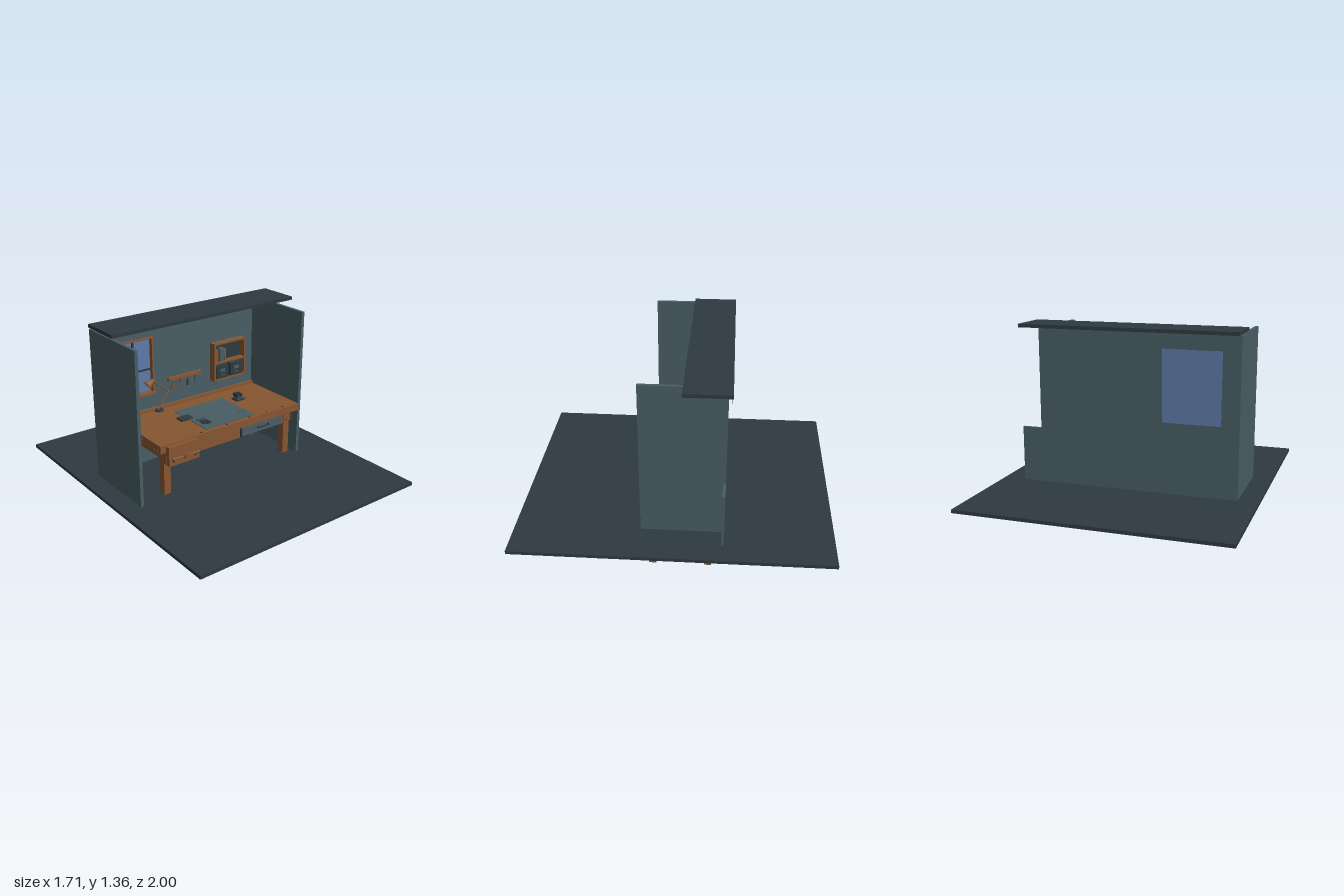
import * as THREE from 'three';

const mat = (name, color, opts = {}) => Object.assign(new THREE.MeshStandardMaterial({ color, ...opts }), { name });

export function createModel() {
  const wood = mat('wood', 0x865530);
  const slate = mat('slate wall', 0x485d63);
  const dark = mat('dark slate', 0x2d3a40);
  const sky = mat('window blue', 0x5d7aaa, { side: THREE.DoubleSide });

  const root = new THREE.Group();
  root.name = 'workshop';
  const group = (name) => {
    const g = new THREE.Group();
    g.name = name;
    root.add(g);
    return g;
  };
  // box given by its two extreme corners
  const box = (parent, name, m, x0, x1, y0, y1, z0, z1) => {
    const mesh = new THREE.Mesh(new THREE.BoxGeometry(x1 - x0, y1 - y0, z1 - z0), m);
    mesh.position.set((x0 + x1) / 2, (y0 + y1) / 2, (z0 + z1) / 2);
    mesh.name = name;
    parent.add(mesh);
    return mesh;
  };
  // round rod from point a to point b
  const rod = (parent, name, m, a, b, r0, r1 = r0, sides = 12) => {
    const p = new THREE.Vector3(...a), q = new THREE.Vector3(...b);
    const d = q.clone().sub(p);
    const mesh = new THREE.Mesh(new THREE.CylinderGeometry(r1, r0, d.length(), sides), m);
    mesh.position.copy(p).add(q).multiplyScalar(0.5);
    mesh.quaternion.setFromUnitVectors(new THREE.Vector3(0, 1, 0), d.normalize());
    mesh.name = name;
    parent.add(mesh);
    return mesh;
  };
  const ball = (parent, name, m, x, y, z, r) => {
    const mesh = new THREE.Mesh(new THREE.SphereGeometry(r, 12, 8), m);
    mesh.position.set(x, y, z);
    mesh.name = name;
    parent.add(mesh);
  };

  // room shell
  const room = group('room');
  box(room, 'floor', dark, -0.855, 0.855, 0.3, 0.322, -1, 1);
  box(room, 'roof', dark, -0.715, 0.71, 1.334, 1.356, -0.343, -0.06);
  box(room, 'leftSideWall', slate, 0.557, 0.579, 0.322, 1.333, -0.318, 0.206);
  box(room, 'rightSideWall', slate, -0.725, -0.703, 0.322, 1.333, -0.318, 0.206);
  box(room, 'lowBackWall', slate, -0.703, 0.709, 0.322, 0.682, -0.318, -0.3);
  box(room, 'wallBesideWindow', slate, -0.703, -0.574, 0.682, 1.333, -0.318, -0.3);
  box(room, 'wideBackWall', slate, -0.286, 0.557, 0.682, 1.333, -0.318, -0.3);
  box(room, 'wallUnderWindow', slate, -0.574, -0.286, 0.682, 0.82, -0.318, -0.3);
  box(room, 'wallOverWindow', slate, -0.574, -0.286, 1.2, 1.333, -0.318, -0.3);

  // window with a blue pane behind the opening
  const win = group('window');
  box(win, 'pane', sky, -0.616, -0.246, 0.785, 1.24, -0.343, -0.341);
  for (const x of [-0.579, -0.295]) box(win, 'windowJamb', wood, x, x + 0.012, 0.82, 1.206, -0.318, -0.288);
  box(win, 'windowHead', wood, -0.579, -0.283, 1.194, 1.206, -0.318, -0.287);
  box(win, 'windowSill', wood, -0.582, -0.28, 0.814, 0.826, -0.318, -0.27);
  box(win, 'uprightBar', dark, -0.436, -0.424, 0.826, 1.194, -0.314, -0.302);
  box(win, 'crossBar', dark, -0.567, -0.295, 0.977, 0.987, -0.313, -0.303);

  // workbench frame: legs, pegs, rails and slatted shelf
  const bench = group('workbench');
  for (const x of [-0.524, 0.467]) {
    for (const z of [-0.241, 0.118]) box(bench, 'leg', wood, x, x + 0.05, 0, 0.638, z, z + 0.048);
    box(bench, 'endRail', wood, x + 0.01, x + 0.04, 0.1, 0.143, -0.193, 0.118);
    box(bench, 'endApron', wood, x + 0.01, x + 0.04, 0.56, 0.638, -0.193, 0.118);
    for (const y of [0.12, 0.57, 0.615]) {
      rod(bench, 'peg', dark, [x + 0.025, y, 0.16], [x + 0.025, y, 0.169], 0.004);
      rod(bench, 'peg', dark, [x + 0.025, y, -0.236], [x + 0.025, y, -0.244], 0.004);
    }
  }
  for (const z of [-0.232, 0.127]) {
    box(bench, 'longRail', wood, -0.474, 0.467, 0.1, 0.143, z, z + 0.03);
    box(bench, 'longApron', wood, -0.474, 0.467, 0.546, 0.638, z, z + 0.034);
  }
  const slatZ = [-0.193, -0.147, -0.077, -0.005, 0.077, 0.118];
  for (let i = 0; i < 5; i++)
    box(bench, 'shelfSlat', wood, -0.472, 0.465, 0.144, 0.156, slatZ[i] + 0.001, slatZ[i + 1] - 0.002);
  box(bench, 'endBlock', wood, 0.517, 0.527, 0.565, 0.638, 0.06, 0.17);

  // bench top: boards over a dark core that shows in the seams
  box(bench, 'topCore', dark, -0.568, 0.563, 0.642, 0.686, -0.298, 0.2);
  const seams = [-0.3, -0.275, -0.205, -0.137, -0.069, 0, 0.067, 0.136, 0.175, 0.207];
  for (let i = 0; i < seams.length - 1; i++)
    box(bench, 'topBoard', wood, -0.571, 0.566, 0.638, 0.689, seams[i] + 0.0008, seams[i + 1] - 0.0008);
  box(bench, 'backLedge', wood, -0.571, 0.569, 0.689, 0.707, -0.3, -0.28);
  for (const x of [-0.25, -0.045, 0.14, 0.29, 0.43])
    rod(bench, 'dogHole', dark, [x, 0.685, 0.188], [x, 0.6905, 0.188], 0.008);

  // drawer
  const drawer = group('drawer');
  box(drawer, 'drawerBorder', dark, 0.085, 0.449, 0.552, 0.63, 0.14, 0.172);
  box(drawer, 'drawerFront', slate, 0.093, 0.441, 0.56, 0.622, 0.15, 0.18);
  box(drawer, 'drawerPull', dark, 0.218, 0.314, 0.59, 0.597, 0.188, 0.195);
  for (const x of [0.218, 0.306]) box(drawer, 'pullPost', dark, x, x + 0.008, 0.59, 0.6, 0.18, 0.19);

  // front vise
  const vise = group('frontVise');
  box(vise, 'innerJaw', wood, -0.533, -0.305, 0.556, 0.638, 0.166, 0.206);
  box(vise, 'outerJaw', wood, -0.535, -0.307, 0.556, 0.684, 0.213, 0.245);
  rod(vise, 'viseScrew', dark, [-0.42, 0.61, 0.2], [-0.42, 0.61, 0.262], 0.014);
  rod(vise, 'viseHub', wood, [-0.42, 0.61, 0.25], [-0.42, 0.61, 0.284], 0.019);
  rod(vise, 'viseHandle', wood, [-0.513, 0.611, 0.265], [-0.333, 0.611, 0.265], 0.006);
  for (const x of [-0.513, -0.333]) ball(vise, 'handleKnob', wood, x, 0.611, 0.265, 0.012);
  for (const x of [-0.5, -0.34]) rod(vise, 'guideRod', dark, [x, 0.585, 0.15], [x, 0.585, 0.247], 0.007);

  // cutting mat and small things on the bench
  const things = group('benchThings');
  box(things, 'cuttingMat', slate, -0.2, 0.195, 0.689, 0.693, -0.18, 0.174);
  box(things, 'notebook', dark, -0.257, -0.167, 0.689, 0.701, -0.075, -0.016);
  for (const [x, z] of [[-0.166, 0.02], [-0.145, 0.03], [-0.122, 0.025]]) {
    rod(things, 'chiselBlade', dark, [x, 0.697, z], [x, 0.697, z + 0.05], 0.003);
    rod(things, 'chiselHandle', dark, [x, 0.699, z + 0.045], [x, 0.699, z + 0.092], 0.006);
  }
  for (const [x, z] of [[0.135, 0.08], [0.17, 0.1], [0.15, 0.09]])
    rod(things, 'screw', dark, [x, 0.696, z], [x + 0.01, 0.696, z + 0.004], 0.002);

  // small bench clamp
  const clamp = group('smallClamp');
  box(clamp, 'clampBase', dark, 0.24, 0.305, 0.689, 0.7, -0.125, -0.065);
  box(clamp, 'clampBody', slate, 0.255, 0.295, 0.7, 0.718, -0.115, -0.075);
  box(clamp, 'clampJaw', dark, 0.25, 0.268, 0.715, 0.737, -0.12, -0.07);
  box(clamp, 'clampJaw', dark, 0.277, 0.293, 0.715, 0.737, -0.12, -0.07);
  rod(clamp, 'clampScrew', dark, [0.272, 0.707, -0.08], [0.272, 0.707, -0.05], 0.004);
  rod(clamp, 'clampHandle', dark, [0.235, 0.703, -0.06], [0.31, 0.711, -0.048], 0.003);

  // jointed desk lamp
  const lamp = group('lamp');
  const lz = -0.262;
  rod(lamp, 'lampBase', dark, [-0.27, 0.689, lz], [-0.27, 0.7, lz], 0.03, 0.028, 20);
  rod(lamp, 'lowerArm', wood, [-0.275, 0.7, lz], [-0.195, 0.81, lz], 0.0045);
  rod(lamp, 'upperArm', wood, [-0.195, 0.81, lz], [-0.305, 0.905, lz], 0.0045);
  ball(lamp, 'elbow', wood, -0.195, 0.81, lz, 0.007);
  ball(lamp, 'neck', wood, -0.305, 0.905, lz, 0.008);
  const shade = new THREE.Mesh(
    new THREE.LatheGeometry([[0.001, 0.03], [0.012, 0.028], [0.014, 0.01], [0.032, -0.026]]
      .map(([x, y]) => new THREE.Vector2(x, y)), 20),
    mat('lamp wood', 0x865530, { side: THREE.DoubleSide }));
  shade.name = 'lampShade';
  shade.position.set(-0.332, 0.903, lz);
  shade.rotation.z = -0.95;
  lamp.add(shade);
  ball(lamp, 'bulb', dark, -0.342, 0.895, lz, 0.011);

  // tool rack with hanging tools
  const rack = group('toolRack');
  box(rack, 'rackBar', wood, -0.176, 0.098, 0.87, 0.892, -0.3, -0.275);
  [[-0.144, wood], [-0.085, wood], [-0.023, dark], [0.041, slate]].forEach(([x, m]) => {
    rod(rack, 'toolShaft', dark, [x, 0.845, -0.28], [x, 0.873, -0.28], 0.003);
    rod(rack, 'toolHandle', m, [x, 0.812, -0.28], [x, 0.848, -0.28], 0.009, 0.006);
  });
  for (const x of [-0.165, 0.087]) rod(rack, 'rackScrew', dark, [x, 0.881, -0.28], [x, 0.881, -0.273], 0.004);

  // wall cabinet with books and bins
  const cab = group('wallCabinet');
  box(cab, 'cabinetBack', dark, 0.19, 0.455, 0.795, 1.06, -0.3, -0.294);
  for (const x of [0.185, 0.448]) box(cab, 'cabinetSide', wood, x, x + 0.012, 0.79, 1.064, -0.3, -0.25);
  for (const y of [0.79, 0.913, 1.052]) box(cab, 'cabinetShelf', wood, 0.197, 0.448, y, y + 0.012, -0.3, -0.251);
  for (const x of [0.207, 0.331]) {
    box(cab, 'bin', dark, x, x + 0.107, 0.803, 0.895, -0.294, -0.255);
    box(cab, 'binLabel', slate, x + 0.032, x + 0.075, 0.848, 0.872, -0.256, -0.253);
    box(cab, 'binPull', slate, x + 0.036, x + 0.071, 0.826, 0.831, -0.256, -0.25);
  }
  [[0.208, 0.02, 0.09, wood], [0.23, 0.01, 0.085, dark], [0.242, 0.038, 0.094, slate]].forEach(([x, w, h, m]) =>
    box(cab, 'book', m, x, x + w, 0.925, 0.925 + h, -0.293, -0.26));
  box(cab, 'leaningBook', wood, 0.284, 0.296, 0.926, 1.01, -0.293, -0.262).rotation.z = 0.06;

  return root;
}
